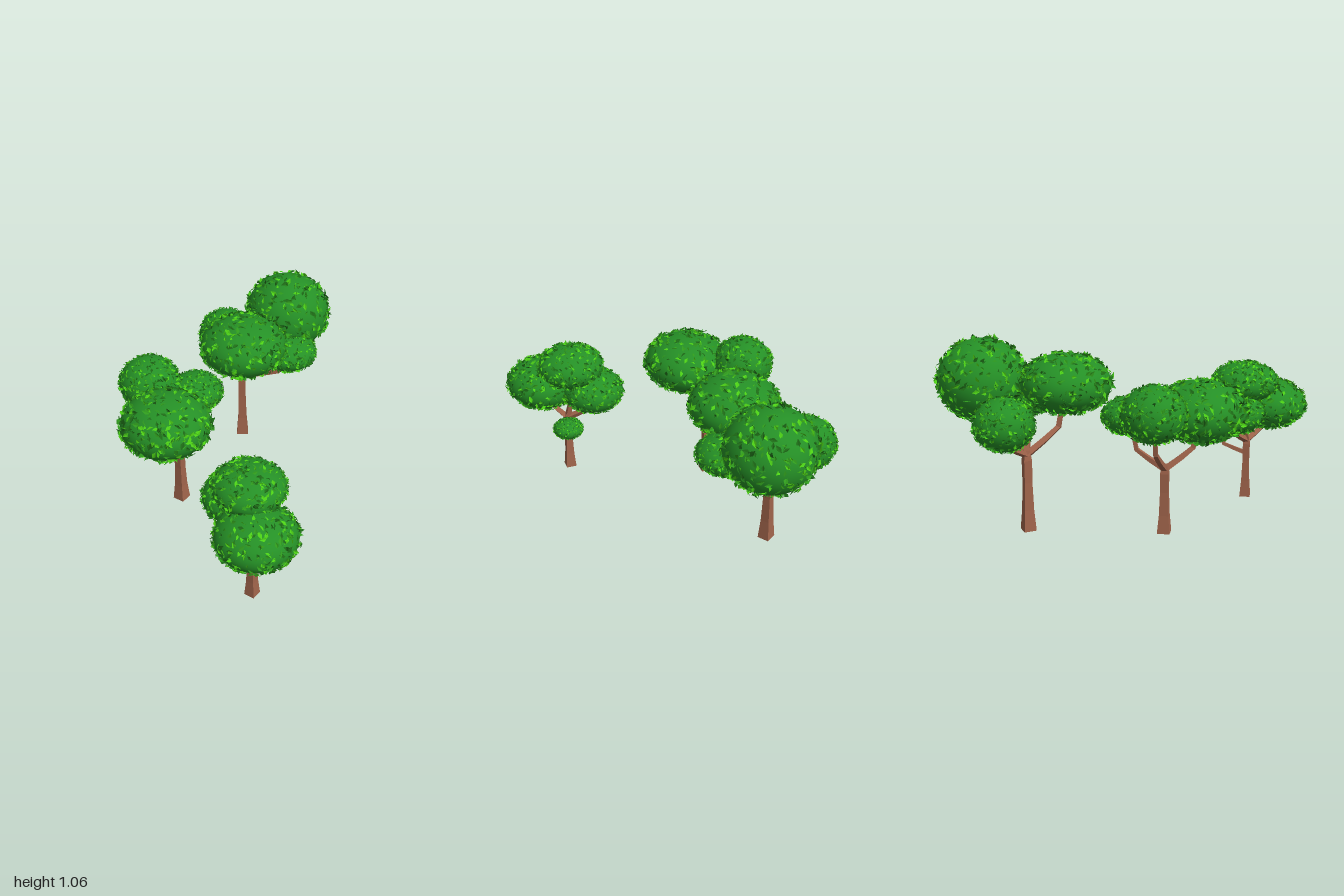
import * as THREE from 'three';

const mat = (color, opts = {}) => new THREE.MeshStandardMaterial({ color, ...opts });
const BARK = mat(0xa0644b, { flatShading: true });
const FOLIAGE = mat(0x259026);
const LEAVES = [0x1d6b16, 0x2f9a1c, 0x4cd015].map(c => mat(c, { side: THREE.DoubleSide, flatShading: true }));

// Small seeded random generator
let seed = 7;
const rand = () => (seed = (seed * 16807) % 2147483647) / 2147483647;

// Tapered four-sided limb through Vector3 points, with a half width at each
function limb(points, widths, twist = 0) {
  const n = 4, last = points.length - 1, pos = [], idx = [];
  const up = new THREE.Vector3(0, 1, 0), q = new THREE.Quaternion();
  points.forEach((p, i) => {
    const along = points[Math.min(i + 1, last)].clone().sub(points[Math.max(i - 1, 0)]).normalize();
    q.setFromUnitVectors(up, along);
    for (let k = 0; k < n; k++) {
      const a = twist + Math.PI / 4 + (k / n) * Math.PI * 2, r = widths[i] * Math.SQRT2;
      pos.push(...new THREE.Vector3(Math.sin(a) * r, 0, Math.cos(a) * r).applyQuaternion(q).add(p));
    }
  });
  for (let i = 0; i < last; i++)
    for (let k = 0; k < n; k++) {
      const a = i * n + k, b = i * n + (k + 1) % n;
      idx.push(a, b, b + n, a, b + n, a + n);
    }
  const e = last * n;
  idx.push(0, 2, 1, 0, 3, 2, e, e + 1, e + 2, e, e + 2, e + 3);
  const g = new THREE.BufferGeometry();
  g.setAttribute('position', new THREE.Float32BufferAttribute(pos, 3));
  g.setIndex(idx);
  g.computeVertexNormals();
  return g;
}

// Creased, tilted leaves scattered over an ellipsoid, as one geometry
function leafCover(radii, count) {
  const pos = [], q = new THREE.Quaternion(), z = new THREE.Vector3(0, 0, 1);
  const size = radii.x * 0.085;
  for (let i = 0; i < count; i++) {
    const h = rand() * 2 - 1, a = rand() * Math.PI * 2, s = Math.sqrt(1 - h * h);
    const unit = new THREE.Vector3(s * Math.cos(a), h, s * Math.sin(a));
    const centre = unit.clone().multiply(radii).multiplyScalar(1 + rand() * 0.035);
    const normal = unit.clone().divide(radii).normalize();
    const tilt = new THREE.Vector3(rand() - 0.5, rand() - 0.5, rand() - 0.5).multiplyScalar(2);
    q.setFromUnitVectors(z, normal.add(tilt).normalize());
    const spin = rand() * Math.PI * 2, l = size * (0.7 + rand() * 0.6), w = l * 0.5;
    const corner = (x, y, d) => new THREE.Vector3(x, y, d)
      .applyAxisAngle(z, spin).applyQuaternion(q).add(centre).toArray();
    const tail = corner(0, -l, 0), tip = corner(0, l, 0);
    const left = corner(-w, 0, w * 0.4), right = corner(w, 0, w * 0.4);
    pos.push(...tail, ...tip, ...left, ...tail, ...right, ...tip);
  }
  const g = new THREE.BufferGeometry();
  g.setAttribute('position', new THREE.Float32BufferAttribute(pos, 3));
  g.computeVertexNormals();
  return g;
}

// Foliage cluster: smooth ellipsoid under three shades of leaves
function crown(centre, r, ry) {
  const group = new THREE.Group();
  group.name = 'crown';
  group.position.copy(centre);
  const core = new THREE.Mesh(new THREE.SphereGeometry(1, 32, 20).scale(r, ry, r), FOLIAGE);
  core.name = 'foliageCore';
  group.add(core);
  for (const shade of LEAVES) {
    const leaves = new THREE.Mesh(leafCover(new THREE.Vector3(r, ry, r), 205), shade);
    leaves.name = 'leaves';
    group.add(leaves);
  }
  return group;
}

// Tree: flared trunk up to the fork, then one elbowed branch into each crown
function tree({ name, base, fork, width, twist, crowns }) {
  const group = new THREE.Group();
  group.name = name;
  const foot = new THREE.Vector3(...base);
  const addLimb = (part, points, widths, turn) => {
    const mesh = new THREE.Mesh(limb(points, widths, turn), BARK);
    mesh.name = part;
    group.add(mesh);
  };
  const levels = [0, 0.27, 0.62, 0.9, 1.03];
  const trunk = levels.map(t => foot.clone().setY(THREE.MathUtils.lerp(foot.y, fork, t)));
  addLimb('trunk', trunk, [1, 0.75, 0.62, 0.65, 0.42].map(f => f * width), twist);

  for (const { at, r, ry, from = fork } of crowns) {
    const start = foot.clone().setY(from - 0.015), centre = new THREE.Vector3(...at);
    // The branch runs outward first, then turns up into the foliage
    const elbow = (out, rise) => start.clone().lerp(centre, out)
      .setY(THREE.MathUtils.lerp(start.y, centre.y, rise));
    const path = [start, elbow(0.45, 0.19), elbow(0.8, 0.36), elbow(0.95, 0.85)];
    const thick = 0.009 + r * 0.03;
    addLimb('branch', path, [1, 0.9, 0.8, 0.65].map(f => f * thick), 0);
    group.add(crown(centre, r, ry));
  }
  return group;
}

export function createModel() {
  seed = 7;
  const model = new THREE.Group();
  model.name = 'treeGroup';
  model.add(tree({
    name: 'tallTree', base: [-0.422, 0.03, -0.46], fork: 0.47, width: 0.034, twist: 0.6,
    crowns: [
      { at: [-0.28, 0.82, -0.735], r: 0.243, ry: 0.222 },
      { at: [-0.28, 0.82, -0.275], r: 0.243, ry: 0.157 },
      { at: [-0.585, 0.665, -0.53], r: 0.16, ry: 0.14 },
      { at: [-0.135, 0.695, -0.525], r: 0.16, ry: 0.093 },
    ],
  }));
  model.add(tree({
    name: 'middleTree', base: [-0.343, 0.04, 0.268], fork: 0.41, width: 0.034, twist: 0,
    crowns: [
      { at: [-0.28, 0.705, 0.445], r: 0.243, ry: 0.16 },
      { at: [-0.55, 0.75, 0.24], r: 0.167, ry: 0.147 },
      { at: [-0.35, 0.68, 0.08], r: 0.145, ry: 0.098 },
    ],
  }));
  model.add(tree({
    name: 'shortTree', base: [0.41, 0, 0.64], fork: 0.36, width: 0.03, twist: 0,
    crowns: [
      { at: [0.515, 0.55, 0.755], r: 0.213, ry: 0.14 },
      { at: [0.38, 0.705, 0.62], r: 0.188, ry: 0.113 },
      { at: [0.265, 0.55, 0.565], r: 0.178, ry: 0.12 },
      { at: [0.45, 0.375, 0.47], r: 0.086, ry: 0.053, from: 0.28 },
    ],
  }));
  return model;
}
